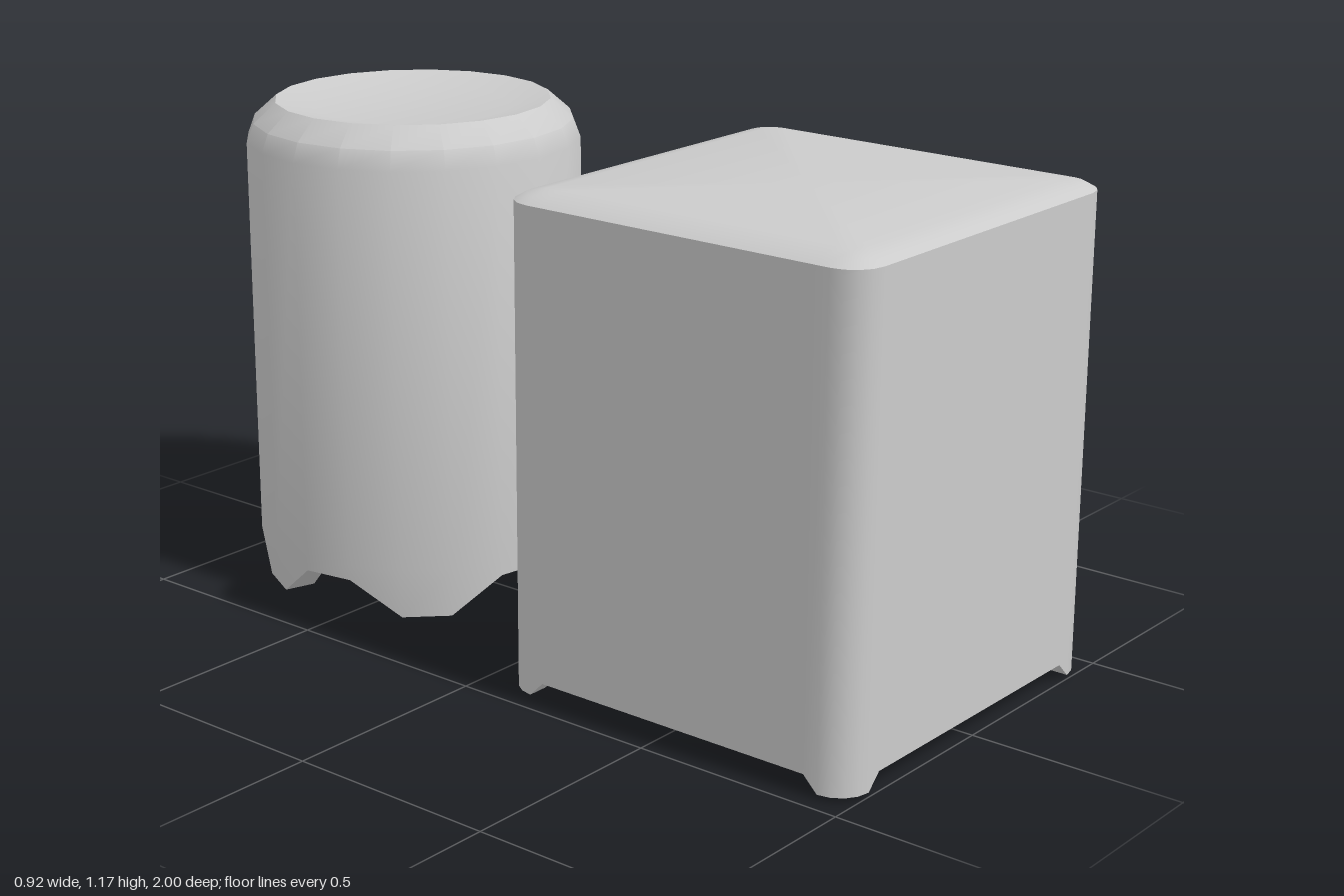
import * as THREE from 'three';
import { toCreasedNormals } from 'three/addons/utils/BufferGeometryUtils.js';

// Closed skin through equal-length rings, ordered from the underside centre up to the top centre
function skin(rings) {
  const n = rings[0].length;
  const pos = rings.flat(2);
  const idx = [];
  const addCentre = (y) => { pos.push(0, y, 0); return pos.length / 3 - 1; };
  const bottom = addCentre(rings[0][0][1]);
  const top = addCentre(rings.at(-1)[0][1]);
  const last = (rings.length - 1) * n;
  for (let j = 0; j < n; j++) {
    const k = (j + 1) % n;
    for (let i = 0; i < last; i += n) {
      idx.push(i + j, i + k, i + n + k, i + j, i + n + k, i + n + j);
    }
    idx.push(bottom, k, j, top, last + j, last + k);
  }
  const geo = new THREE.BufferGeometry();
  geo.setAttribute('position', new THREE.Float32BufferAttribute(pos, 3));
  geo.setIndex(idx);
  return toCreasedNormals(geo, 0.5);
}

// Round ring: every four points hold two of a foot and two of a gap
function roundRing(footR, footY, gapR = footR, gapY = footY) {
  return Array.from({ length: 20 }, (_, j) => {
    const foot = j % 4 < 2;
    const a = (j * Math.PI) / 10;
    const r = foot ? footR : gapR;
    return [r * Math.cos(a), foot ? footY : gapY, -r * Math.sin(a)];
  });
}

// Rounded square ring: corner arcs at footY, straight sides at sideY
function squareRing(inset, footY, sideY = footY) {
  const half = 0.46, radius = 0.075, footEnd = 0.11;
  const c = half - radius, r = radius - inset, s = half - footEnd;
  const ring = [];
  for (let q = 0; q < 4; q++) {
    const corner = [[half - inset, s, sideY]];
    for (let i = 0; i <= 4; i++) {
      const a = (i * Math.PI) / 8;
      corner.push([c + r * Math.cos(a), c + r * Math.sin(a), footY]);
    }
    corner.push([s, half - inset, sideY]);
    const cs = Math.cos((q * Math.PI) / 2), sn = Math.sin((q * Math.PI) / 2);
    for (const [u, v, y] of corner) ring.push([u * cs - v * sn, y, -(u * sn + v * cs)]);
  }
  return ring;
}

export function createModel() {
  const group = new THREE.Group();
  const material = new THREE.MeshStandardMaterial({ color: 0xcccccc });
  const add = (name, rings, z) => {
    const mesh = new THREE.Mesh(skin(rings), material);
    mesh.name = name;
    mesh.position.z = z;
    group.add(mesh);
  };

  // Square container with four corner feet and a softly raised lid
  add('squareContainer', [
    squareRing(0.07, 0.055),
    squareRing(0.05, 0.01, 0.045),
    squareRing(0, 0.01, 0.045),
    squareRing(0, 1.11),
    squareRing(0.025, 1.124),
    squareRing(0.07, 1.133),
  ], 0.54);

  // Round container with five feet, rounded shoulder and dished top
  add('roundContainer', [
    roundRing(0.23, 0.12),
    roundRing(0.3, 0, 0.32, 0.09),
    roundRing(0.375, 0, 0.393, 0.09),
    roundRing(0.395, 0.125),
    roundRing(0.395, 1.075),
    roundRing(0.378, 1.12),
    roundRing(0.325, 1.167),
    roundRing(0.23, 1.147),
  ], -0.605);

  return group;
}
